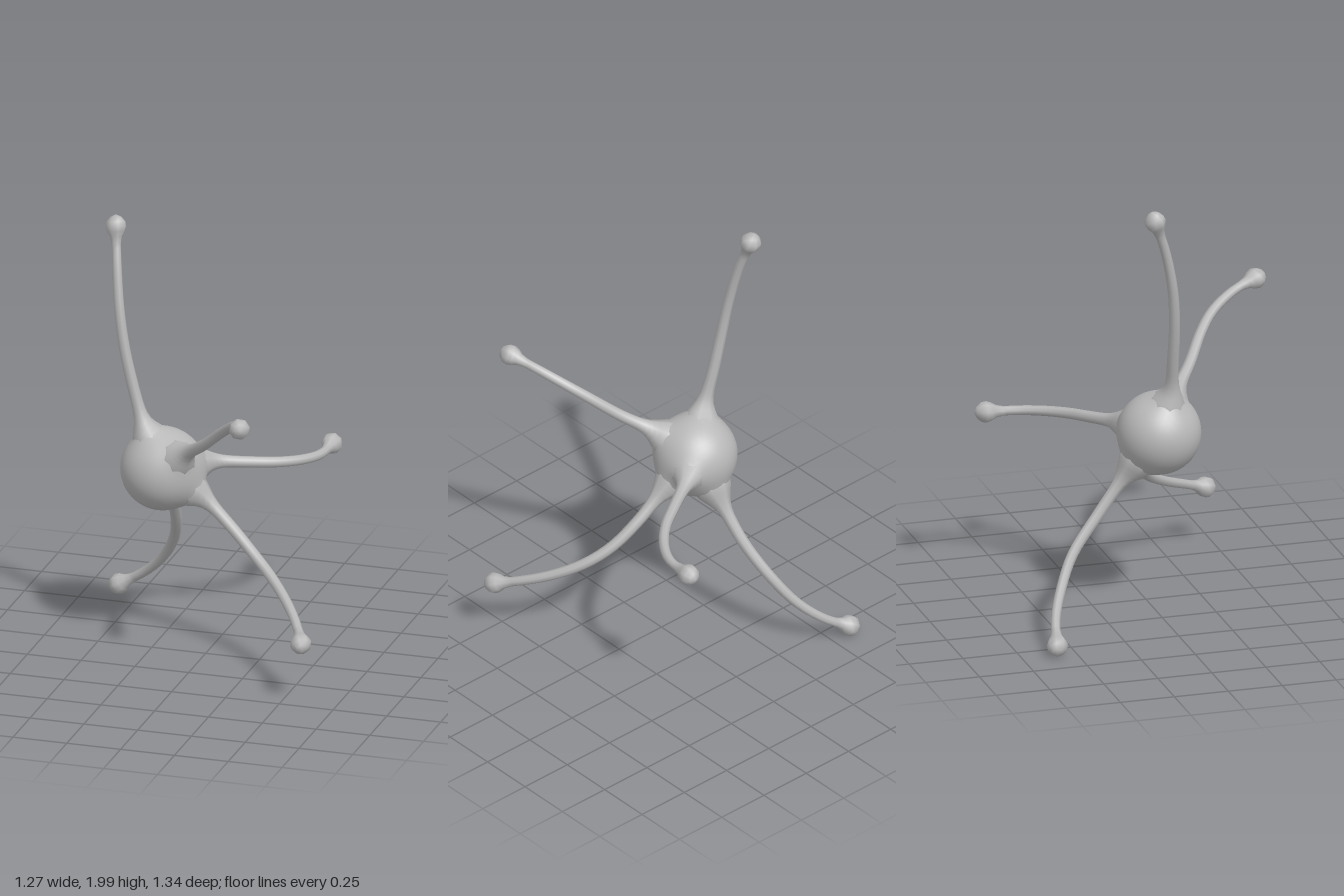
import * as THREE from 'three';
import { mergeVertices } from 'three/addons/utils/BufferGeometryUtils.js';

const CENTER = new THREE.Vector3(-0.2, 0.865, 0);
const BODY_RADIUS = 0.188;
const SIDES = 8;

// Each arm runs from its root on the body to the middle of its bulb
const ARMS = {
  upperArm: [[-0.28, 1.08, 0.03], [-0.33, 1.25, 0.025], [-0.37, 1.42, 0.02], [-0.4, 1.6, 0.003], [-0.425, 1.8, -0.04], [-0.447, 1.957, -0.095]],
  frontArm: [[-0.05, 1.0, 0.13], [0.055, 1.08, 0.22], [0.163, 1.18, 0.305], [0.235, 1.245, 0.38], [0.306, 1.305, 0.5], [0.353, 1.337, 0.62]],
  backArm: [[-0.02, 0.867, -0.14], [0.127, 0.85, -0.226], [0.235, 0.837, -0.294], [0.324, 0.826, -0.383], [0.378, 0.82, -0.484], [0.39, 0.823, -0.63]],
  leftArm: [[0, 0.742, 0.005], [0.117, 0.64, 0.02], [0.24, 0.532, 0.06], [0.345, 0.455, 0.125], [0.45, 0.385, 0.23], [0.54, 0.325, 0.36], [0.588, 0.285, 0.46]],
  lowerArm: [[-0.21, 0.67, -0.17], [-0.23, 0.515, -0.295], [-0.283, 0.365, -0.425], [-0.358, 0.243, -0.5], [-0.465, 0.138, -0.56], [-0.595, 0.053, -0.592]],
};

// [distance from the outer end, radius] of the bulb and its neck
const BULB = [[0.13, 0.022], [0.1, 0.028], [0.078, 0.041], [0.055, 0.048], [0.033, 0.044], [0.012, 0.026], [0, 0]];

// Round body pulled out into a soft cone under every arm
function bodyGeometry(directions) {
  let g = new THREE.IcosahedronGeometry(BODY_RADIUS, 7);
  g.deleteAttribute('normal');
  g.deleteAttribute('uv');
  g = mergeVertices(g, 1e-5);
  const p = g.attributes.position;
  const v = new THREE.Vector3();
  for (let i = 0; i < p.count; i++) {
    v.fromBufferAttribute(p, i).normalize();
    let r = BODY_RADIUS;
    for (const d of directions) {
      const a = v.angleTo(d);
      r += 0.022 * Math.exp(-((a / 0.36) ** 2)) + 0.025 * Math.exp(-((a / 0.2) ** 2));
    }
    p.setXYZ(i, v.x * r, v.y * r, v.z * r);
  }
  g.computeVertexNormals();
  return g;
}

// Tapered tube: flared root, slim middle, closed bulb at the end
function armGeometry(points) {
  const pts = points.map((q) => new THREE.Vector3(...q));
  const tip = pts[pts.length - 1];
  const out = tip.clone().sub(pts[pts.length - 2]).normalize();
  pts.unshift(CENTER.clone().lerp(pts[0], 0.6));
  pts.push(tip.clone().addScaledVector(out, 0.046));
  const curve = new THREE.CatmullRomCurve3(pts, false, 'centripetal');
  const length = curve.getLength();

  // Rings as [arc distance, radius]
  const rings = [];
  const bulbStart = length - 0.15;
  for (let i = 0; i <= 26; i++) {
    const t = (i / 26) ** 1.3;
    const s = t * bulbStart;
    rings.push([s, 0.029 - 0.008 * t + 0.06 * Math.exp(-((s / 0.085) ** 2))]);
  }
  for (const [d, r] of BULB) rings.push([length - d, r]);

  const pos = [], index = [];
  const normal = new THREE.Vector3(0.31, 0.52, 0.79), side = new THREE.Vector3();
  rings.forEach(([s, r], k) => {
    const u = Math.min(1, s / length);
    const c = curve.getPointAt(u), t = curve.getTangentAt(u);
    normal.addScaledVector(t, -normal.dot(t)).normalize();
    side.crossVectors(t, normal);
    for (let j = 0; j < SIDES; j++) {
      const a = (j / SIDES) * Math.PI * 2;
      const q = c.clone().addScaledVector(normal, Math.cos(a) * r).addScaledVector(side, Math.sin(a) * r);
      pos.push(q.x, q.y, q.z);
      if (k === 0) continue;
      const b = k * SIDES + j, b2 = k * SIDES + ((j + 1) % SIDES);
      index.push(b - SIDES, b2 - SIDES, b2);
      index.push(b - SIDES, b2, b);
    }
  });
  let g = new THREE.BufferGeometry();
  g.setAttribute('position', new THREE.Float32BufferAttribute(pos, 3));
  g.setIndex(index);
  g = mergeVertices(g, 1e-5);
  g.computeVertexNormals();
  return g;
}

export function createModel() {
  const group = new THREE.Group();
  group.name = 'armedCell';
  const grey = new THREE.MeshStandardMaterial({ color: 0xb8b8b8 });
  grey.name = 'grey';

  const directions = Object.values(ARMS).map((a) => new THREE.Vector3(...a[0]).sub(CENTER).normalize());
  const body = new THREE.Mesh(bodyGeometry(directions), grey);
  body.name = 'body';
  body.position.copy(CENTER);
  group.add(body);

  for (const [name, points] of Object.entries(ARMS)) {
    const arm = new THREE.Mesh(armGeometry(points), grey);
    arm.name = name;
    group.add(arm);
  }
  return group;
}
